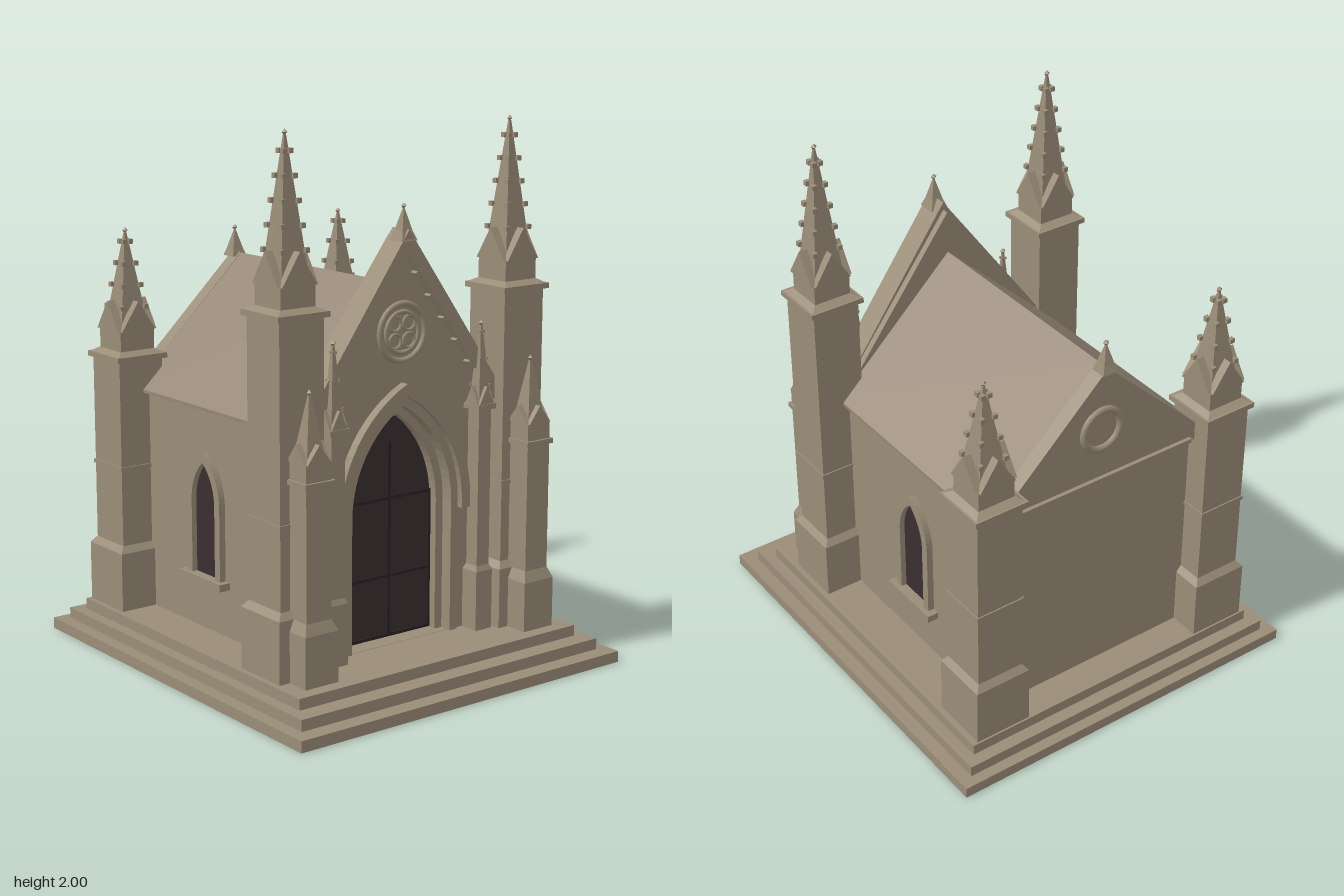
import * as THREE from 'three';

const stone = new THREE.MeshStandardMaterial({ color: 0x9a8d78 });
stone.name = 'stone';
const roofStone = new THREE.MeshStandardMaterial({ color: 0x968776 });
roofStone.name = 'roofStone';
const darkWood = new THREE.MeshStandardMaterial({ color: 0x3a2f31 });
darkWood.name = 'darkWood';
const iron = new THREE.MeshStandardMaterial({ color: 0x2a2224 });
iron.name = 'iron';

function add(parent, name, geo, mat = stone, x = 0, y = 0, z = 0) {
  const mesh = new THREE.Mesh(geo, mat);
  mesh.name = name;
  mesh.position.set(x, y, z);
  parent.add(mesh);
  return mesh;
}

function group(parent, name, x = 0, y = 0, z = 0) {
  const g = new THREE.Group();
  g.name = name;
  g.position.set(x, y, z);
  parent.add(g);
  return g;
}

// Box from its minimum and maximum corners
function box(parent, name, x0, x1, y0, y1, z0, z1, mat) {
  return add(parent, name, new THREE.BoxGeometry(x1 - x0, y1 - y0, z1 - z0), mat,
    (x0 + x1) / 2, (y0 + y1) / 2, (z0 + z1) / 2);
}

// Square tapered block with half widths a (bottom) and b (top)
function taper(parent, name, a, b, y0, y1) {
  const geo = new THREE.CylinderGeometry(b * Math.SQRT2, a * Math.SQRT2, y1 - y0, 4)
    .rotateY(Math.PI / 4).toNonIndexed();
  geo.computeVertexNormals();
  return add(parent, name, geo, stone, 0, (y0 + y1) / 2, 0);
}

function extrude(parent, name, shape, z0, z1, mat) {
  const geo = new THREE.ExtrudeGeometry(shape, { depth: z1 - z0, bevelEnabled: false, curveSegments: 24 });
  return add(parent, name, geo, mat, 0, 0, z0);
}

const poly = (pts) => new THREE.Shape(pts.map(([x, y]) => new THREE.Vector2(x, y)));

// Pointed arch outline, from lower right over the apex to lower left
function archPoints(w, y0, spring, apex, n = 12) {
  const h = apex - spring, c = (h * h - w * w) / (2 * w), r = w + c;
  const end = Math.atan2(h, c), right = [[w, y0]];
  for (let i = 0; i <= n; i++) {
    const a = (end * i) / n;
    right.push([r * Math.cos(a) - c, spring + r * Math.sin(a)]);
  }
  right[right.length - 1][0] = 0;
  return right.concat(right.slice(0, -1).reverse().map(([x, y]) => [-x, y]));
}

const archBand = (outer, inner, y0, spring) =>
  poly(archPoints(outer[0], y0, spring, outer[1]).concat(archPoints(inner[0], y0, spring, inner[1]).reverse()));

function finial(parent, y, r = 0.012) {
  add(parent, 'finial', new THREE.OctahedronGeometry(r), stone, 0, y, 0);
}

// Four gablets around a crocketed spire
function spire(parent, y0, gableTop, top, half, crockets) {
  const proj = half * 1.15;
  for (let i = 0; i < 4; i++) {
    const side = group(parent, 'gabletSide');
    side.rotation.y = (i * Math.PI) / 2;
    extrude(side, 'gablet', poly([[-half, y0], [half, y0], [0, gableTop]]), half * 0.7, proj);
  }
  const base = half * 0.82;
  taper(parent, 'spire', base, 0.004, y0, top - 0.02);
  const size = half * 0.24;
  for (let i = 0; i < crockets; i++) {
    const t = 0.22 + (0.64 * i) / Math.max(1, crockets - 1);
    const d = base * (1 - t) + size * 0.25;
    for (const sx of [-1, 1]) for (const sz of [-1, 1]) {
      add(parent, 'crocket', new THREE.BoxGeometry(size, size, size), stone, sx * d, y0 + (top - y0) * t, sz * d);
    }
  }
  finial(parent, top - 0.012);
}

// Corner tower with plinth, string course, cornice and spire
function tower(parent, name, x, z, cornice, gableTop, top, crockets) {
  const g = group(parent, name, x, 0, z);
  taper(g, 'plinth', 0.113, 0.113, 0.125, 0.35);
  taper(g, 'plinthSlope', 0.113, 0.093, 0.35, 0.375);
  taper(g, 'shaft', 0.093, 0.093, 0.375, cornice);
  taper(g, 'stringCourse', 0.098, 0.098, 0.665, 0.68);
  taper(g, 'cornice', 0.108, 0.108, cornice, cornice + 0.02);
  taper(g, 'corniceSlope', 0.1, 0.075, cornice + 0.02, cornice + 0.035);
  taper(g, 'spireBase', 0.073, 0.073, cornice + 0.02, cornice + 0.11);
  spire(g, cornice + 0.11, gableTop, top, 0.073, crockets);
}

export function createModel() {
  const model = new THREE.Group();
  model.name = 'chapel';

  // Stepped platform
  box(model, 'lowerStep', -0.73, 0.73, 0, 0.042, -0.805, 0.805);
  box(model, 'middleStep', -0.68, 0.68, 0.042, 0.084, -0.763, 0.74);
  box(model, 'upperStep', -0.635, 0.635, 0.084, 0.125, -0.715, 0.667);

  // Nave and roof
  box(model, 'naveWalls', -0.465, 0.465, 0.125, 0.96, -0.59, 0.34);
  extrude(model, 'rearGable', poly([[-0.465, 0.96], [0.465, 0.96], [0, 1.41]]), -0.59, -0.5);
  extrude(model, 'roof', poly([[-0.49, 0.955], [0.49, 0.955], [0.49, 0.967], [0, 1.435], [-0.49, 0.967]]), -0.575, 0.37, roofStone);

  // Rear gable trim
  extrude(model, 'rearCoping', poly([[-0.49, 0.967], [-0.41, 0.967], [0, 1.36], [0.41, 0.967], [0.49, 0.967], [0, 1.437]]), -0.618, -0.56);
  box(model, 'rearString', -0.45, 0.45, 0.95, 0.967, -0.605, -0.58);
  add(model, 'rearRing', new THREE.TorusGeometry(0.08, 0.014, 8, 32), stone, 0, 1.17, -0.592);
  const rearFinial = group(model, 'rearFinial', 0, 0, -0.6);
  taper(rearFinial, 'finialBase', 0.032, 0.022, 1.42, 1.45);
  taper(rearFinial, 'finialSpike', 0.022, 0.003, 1.45, 1.52);
  finial(rearFinial, 1.53);

  // Front wall with portal opening
  const wall = poly([[-0.42, 0.125], [0.42, 0.125], [0.42, 1.04], [0, 1.6], [-0.42, 1.04]]);
  wall.holes.push(new THREE.Path(archPoints(0.258, 0.126, 0.62, 1.038).map(([x, y]) => new THREE.Vector2(x, y))));
  extrude(model, 'frontWall', wall, 0.34, 0.42);

  // Portal mouldings and door
  const portal = group(model, 'portal');
  extrude(portal, 'innerOrder', archBand([0.23, 1.003], [0.195, 0.97], 0.125, 0.62), 0.34, 0.385);
  extrude(portal, 'outerOrder', archBand([0.262, 1.042], [0.228, 1.003], 0.125, 0.62), 0.34, 0.432);
  extrude(portal, 'hoodMould', archBand([0.3, 1.085], [0.26, 1.04], 0.59, 0.62), 0.4, 0.455);
  extrude(portal, 'door', poly(archPoints(0.2, 0.125, 0.62, 0.975)), 0.34, 0.349, darkWood);
  box(portal, 'doorCentreBar', -0.006, 0.006, 0.13, 0.86, 0.348, 0.356, iron);
  for (const y of [0.135, 0.36, 0.65]) box(portal, 'doorRail', -0.195, 0.195, y - 0.006, y + 0.006, 0.348, 0.356, iron);
  for (const s of [-1, 1]) box(portal, 'doorEdgeBar', s * 0.19 - 0.005, s * 0.19 + 0.005, 0.13, 0.655, 0.348, 0.356, iron);

  // Front coping with small blocks under it
  extrude(model, 'frontCoping', poly([[-0.42, 1.046], [-0.42, 0.96], [0, 1.545], [0.42, 0.96], [0.42, 1.046], [0, 1.63]]), 0.365, 0.458);
  for (const s of [-1, 1]) for (let i = 0; i < 6; i++) {
    const x = 0.05 + i * 0.062;
    const block = box(model, 'copingBlock', -0.009, 0.009, -0.009, 0.009, 0.4, 0.45);
    block.position.x = s * x;
    block.position.y = 1.54 - x * 1.39;
    block.rotation.z = -s * 0.95;
  }
  const frontFinial = group(model, 'frontFinial', 0, 0, 0.425);
  taper(frontFinial, 'finialBase', 0.035, 0.022, 1.59, 1.625);
  taper(frontFinial, 'finialSpike', 0.022, 0.003, 1.625, 1.7);
  finial(frontFinial, 1.71);

  // Rose with four lobes
  const rose = group(model, 'rose', 0, 1.265, 0.42);
  add(rose, 'outerRing', new THREE.TorusGeometry(0.102, 0.011, 8, 40));
  add(rose, 'innerRing', new THREE.TorusGeometry(0.073, 0.008, 8, 32));
  for (const x of [-0.031, 0.031]) for (const y of [-0.031, 0.031]) {
    add(rose, 'lobe', new THREE.TorusGeometry(0.026, 0.006, 6, 20), stone, x, y, 0);
  }

  for (const s of [-1, 1]) {
    // Corner towers
    tower(model, 'frontTower', s * 0.5, 0.412, 1.375, 1.6, 2.0, 5);
    tower(model, 'rearTower', s * 0.5, -0.595, 1.08, 1.3, 1.57, 4);

    // Front buttresses
    const b = group(model, 'buttress', s * 0.5, 0, 0.545);
    taper(b, 'plinth', 0.07, 0.07, 0.125, 0.31);
    taper(b, 'plinthSlope', 0.07, 0.053, 0.31, 0.35);
    taper(b, 'shaft', 0.053, 0.053, 0.35, 0.9);
    taper(b, 'cornice', 0.063, 0.063, 0.82, 0.838);
    spire(b, 0.9, 0.965, 1.145, 0.05, 0);

    // Slim pinnacles beside the portal
    const p = group(model, 'portalPinnacle', s * 0.335, 0, 0.46);
    taper(p, 'plinth', 0.038, 0.038, 0.125, 0.35);
    taper(p, 'plinthSlope', 0.038, 0.029, 0.35, 0.37);
    taper(p, 'shaft', 0.029, 0.029, 0.37, 0.97);
    taper(p, 'cap', 0.042, 0.042, 0.955, 0.975);
    spire(p, 0.975, 1.04, 1.28, 0.034, 3);

    // Side windows
    const w = group(model, 'sideWindow', s * 0.465, 0, -0.114);
    w.rotation.y = (s * Math.PI) / 2;
    extrude(w, 'glass', poly(archPoints(0.076, 0.33, 0.6, 0.762)), -0.003, 0.004, darkWood);
    extrude(w, 'windowFrame', archBand([0.105, 0.797], [0.073, 0.76], 0.33, 0.61), -0.005, 0.025);
    box(w, 'sill', -0.132, 0.132, 0.308, 0.335, -0.005, 0.045);
  }
  return model;
}
